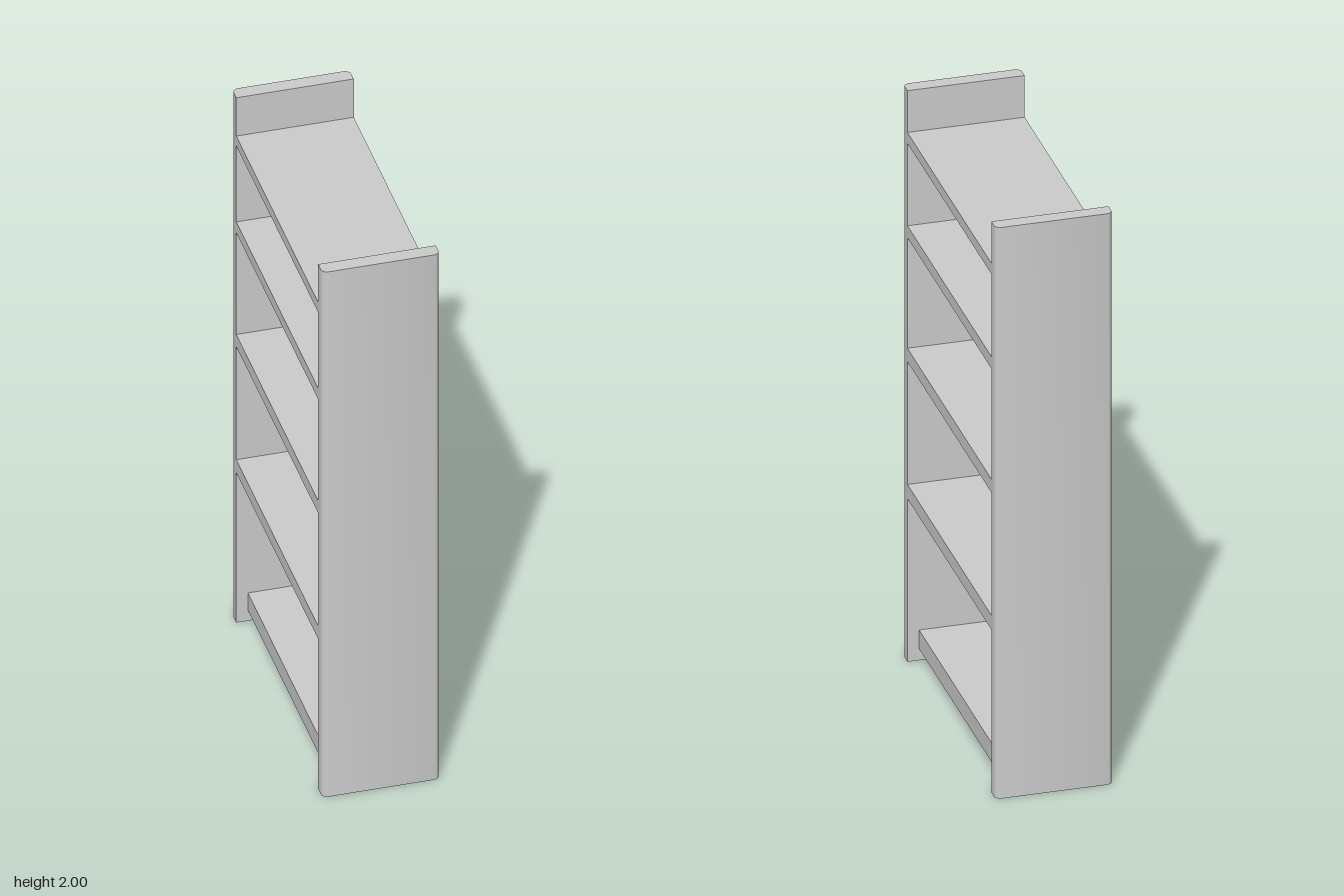
import * as THREE from 'three';
import { toCreasedNormals } from 'three/addons/utils/BufferGeometryUtils.js';

const HALF_DEPTH = 0.191; // half width of the panels along x
const OUTER = 0.523;      // outer face of the side panels
const INNER = 0.474;      // inner face of the side panels
const RADIUS = 0.02;      // rounding of the outer vertical edges

// Upright board with its two outer vertical edges rounded
function panelGeometry() {
  const s = new THREE.Shape();
  s.moveTo(-HALF_DEPTH, INNER);
  s.lineTo(HALF_DEPTH, INNER);
  s.lineTo(HALF_DEPTH, OUTER - RADIUS);
  s.absarc(HALF_DEPTH - RADIUS, OUTER - RADIUS, RADIUS, 0, Math.PI / 2);
  s.absarc(-HALF_DEPTH + RADIUS, OUTER - RADIUS, RADIUS, Math.PI / 2, Math.PI);
  s.closePath();
  const geo = new THREE.ExtrudeGeometry(s, { depth: 2, bevelEnabled: false, curveSegments: 6 });
  geo.rotateX(-Math.PI / 2);
  return toCreasedNormals(geo, Math.PI / 6);
}

export function createModel() {
  const group = new THREE.Group();
  const material = new THREE.MeshStandardMaterial({ color: 0xcccccc });

  // Side panels: one at the back, the same turned round for the front
  const panel = panelGeometry();
  for (const [name, turn] of [['backPanel', 0], ['frontPanel', Math.PI]]) {
    const mesh = new THREE.Mesh(panel, material);
    mesh.name = name;
    mesh.rotation.y = turn;
    group.add(mesh);
  }

  // Shelves, thinner towards the top; the lowest is set in: [bottom, top, half width]
  const shelves = [
    [0.04, 0.106, HALF_DEPTH - 0.038],
    [0.571, 0.621, HALF_DEPTH],
    [1.051, 1.098, HALF_DEPTH],
    [1.485, 1.527, HALF_DEPTH],
    [1.816, 1.854, HALF_DEPTH],
  ];
  shelves.forEach(([bottom, top, half], i) => {
    const mesh = new THREE.Mesh(new THREE.BoxGeometry(half * 2, top - bottom, INNER * 2), material);
    mesh.name = `shelf${i + 1}`;
    mesh.position.y = (bottom + top) / 2;
    group.add(mesh);
  });

  return group;
}
